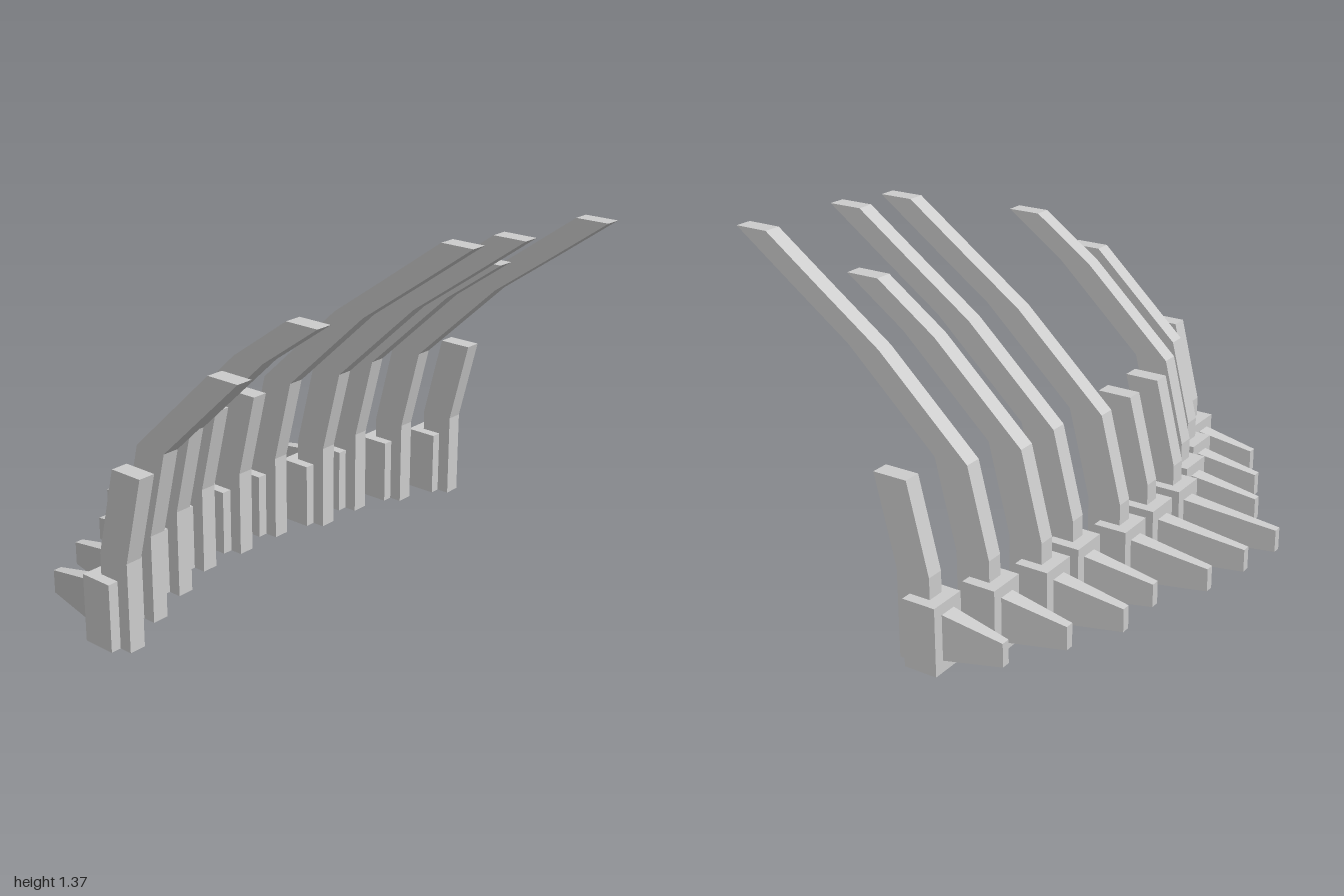
import * as THREE from 'three';

const bone = new THREE.MeshStandardMaterial({ color: 0xcccccc });
bone.name = 'bone grey';

// [box left x, spine tip x, rib height], from the front (+z) to the back
const SEGMENTS = [
  [-0.185, -0.42, 0.683],
  [-0.285, -0.54, 1.023],
  [-0.365, -0.64, 1.195],
  [-0.44, -0.825, 0.683],
  [-0.44, -0.795, 0.683],
  [-0.44, -0.75, 1.367],
  [-0.365, -0.64, 1.367],
  [-0.365, -0.64, 1.195],
  [-0.285, -0.54, 1.367],
  [-0.185, -0.42, 0.683],
];

// Rib centreline: [sideways offset, height]
const CURVE = [[0, 0], [0, 0.345], [0.083, 0.683], [0.443, 1.023], [0.685, 1.195], [0.924, 1.367]];
const BOX = { w: 0.133, h: 0.263, d: 0.15 };
const RIB = { w: 0.136, d: 0.067 };

function addMesh(group, name, geometry) {
  const mesh = new THREE.Mesh(geometry, bone);
  mesh.name = name;
  group.add(mesh);
  return mesh;
}

// Bent bar of constant horizontal width, cut level at the top
function ribGeometry(left, height) {
  const path = CURVE.filter(([, y]) => y <= height + 0.001);
  const outline = [
    ...path.map(([x, y]) => new THREE.Vector2(left + RIB.w + x, y)),
    ...path.map(([x, y]) => new THREE.Vector2(left + x, y)).reverse(),
  ];
  const geometry = new THREE.ExtrudeGeometry(new THREE.Shape(outline), { depth: RIB.d, bevelEnabled: false });
  return geometry.translate(0, 0, -RIB.d / 2);
}

// Box tapering toward its -x end
function spineGeometry(base, tip) {
  const length = base - tip;
  const baseHeight = 0.14 + 0.0085 / length;
  const geometry = new THREE.BoxGeometry(length, baseHeight, 0.068);
  const p = geometry.attributes.position;
  for (let i = 0; i < p.count; i++) {
    if (p.getX(i) < 0) {
      p.setY(i, p.getY(i) * 0.09 / baseHeight);
      p.setZ(i, p.getZ(i) * 0.5);
    }
  }
  geometry.computeVertexNormals();
  return geometry.translate((base + tip) / 2, 0.133, 0);
}

export function createModel() {
  const model = new THREE.Group();
  model.name = 'ribCage';
  SEGMENTS.forEach(([left, tip, height], i) => {
    const segment = new THREE.Group();
    segment.name = 'segment' + (i + 1);
    segment.position.z = 0.925 - i * 1.85 / 9;
    // Vertebra block
    addMesh(segment, 'vertebra', new THREE.BoxGeometry(BOX.w, BOX.h, BOX.d))
      .position.set(left + BOX.w / 2, BOX.h / 2, 0);
    // Curved rib and outward spine
    addMesh(segment, 'rib', ribGeometry(left + 0.049, height));
    addMesh(segment, 'spine', spineGeometry(left, tip));
    model.add(segment);
  });
  return model;
}
